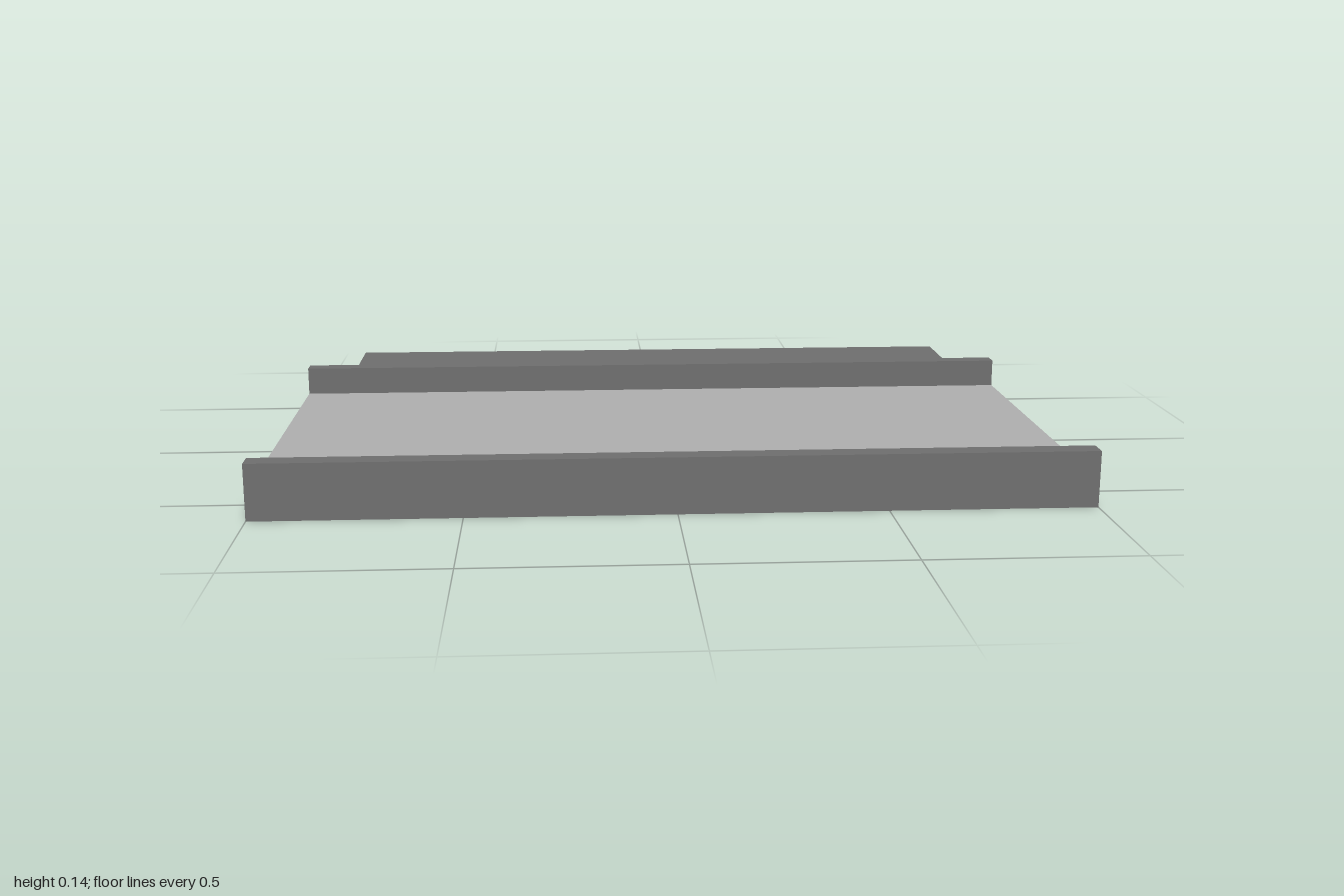
import * as THREE from 'three';

export function createModel() {
  const group = new THREE.Group();
  const darkGrey = new THREE.MeshStandardMaterial({ color: 0x6e6e6e, side: THREE.DoubleSide });
  darkGrey.name = 'darkGrey';
  const lightGrey = new THREE.MeshStandardMaterial({ color: 0xaeaeae, side: THREE.DoubleSide });
  lightGrey.name = 'lightGrey';

  const H = 0.138;                       // beam height
  const FRONT = [0.582, 0.635];          // front beam, z range
  const BACK = [-0.457, -0.411];         // back beam, z range
  const FLANGE_Z = -0.635, FLANGE_X = 0.86, PLATE_Y = 0.064;

  // Horizontal sheet between two z values
  function flat(name, material, halfX, z0, z1, y) {
    const geometry = new THREE.PlaneGeometry(2 * halfX, z1 - z0).rotateX(-Math.PI / 2);
    const mesh = new THREE.Mesh(geometry, material);
    mesh.position.set(0, y, (z0 + z1) / 2);
    mesh.name = name;
    group.add(mesh);
  }

  // Upright sheet of full beam height, facing outward along z
  function wall(name, material, x0, x1, z, facing) {
    const geometry = new THREE.PlaneGeometry(x1 - x0, H);
    if (facing < 0) geometry.rotateY(Math.PI);
    const mesh = new THREE.Mesh(geometry, material);
    mesh.position.set((x0 + x1) / 2, H / 2, z);
    mesh.name = name;
    group.add(mesh);
  }

  // Deck, running through both hollow beams
  flat('deckPlate', lightGrey, 1, BACK[0], FRONT[1] - 0.002, PLATE_Y);

  // Front beam: hollow, open at both ends
  wall('frontBeamOuterWall', darkGrey, -1, 1, FRONT[1], 1);
  wall('frontBeamInnerWall', darkGrey, -1, 1, FRONT[0], -1);

  // Back beam: open behind, closed by a tab at each end
  wall('backBeamInnerWall', darkGrey, -1, 1, BACK[1], 1);
  wall('rightEndTab', lightGrey, -1, -FLANGE_X, BACK[0], -1);
  wall('leftEndTab', lightGrey, FLANGE_X, 1, BACK[0], -1);

  // Top and bottom sheets of the beams, and the flanges behind
  for (const [side, y] of [['Bottom', 0], ['Top', H]]) {
    flat('frontBeam' + side, darkGrey, 1, FRONT[0], FRONT[1], y);
    flat('backBeam' + side, darkGrey, 1, BACK[0], BACK[1], y);
    flat('backFlange' + side, darkGrey, FLANGE_X, FLANGE_Z, BACK[0], y);
  }
  return group;
}
